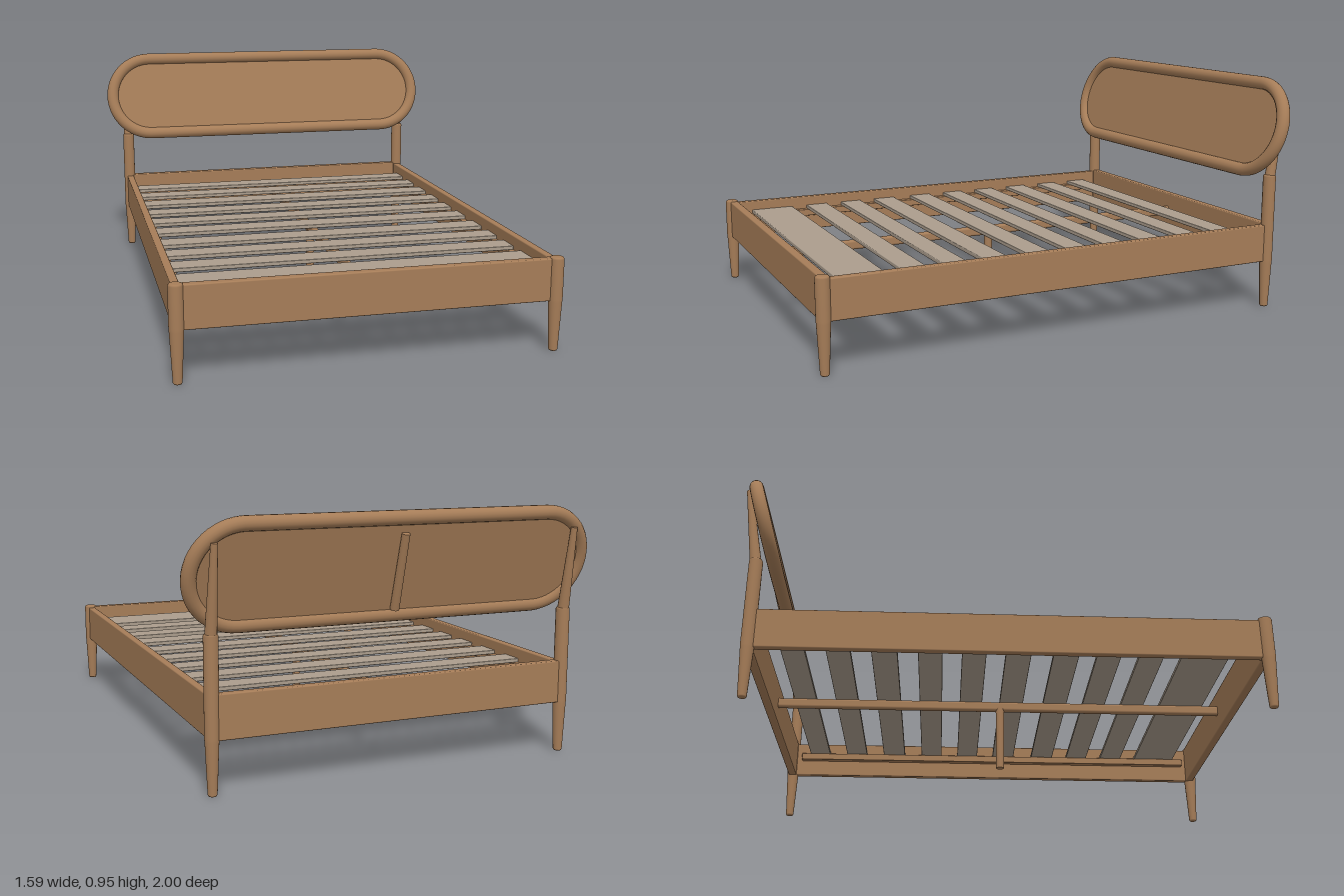
import * as THREE from 'three';
import { RoundedBoxGeometry } from 'three/addons/geometries/RoundedBoxGeometry.js';

const wood = new THREE.MeshStandardMaterial({ color: 0xa67d58 });
wood.name = 'wood';
const slatWood = new THREE.MeshStandardMaterial({ color: 0xab9d8d });
slatWood.name = 'pale slat wood';

export function createModel() {
  const bed = new THREE.Group();
  bed.name = 'bed';

  const add = (name, geometry, x = 0, y = 0, z = 0, material = wood, parent = bed) => {
    const mesh = new THREE.Mesh(geometry, material);
    mesh.name = name;
    mesh.position.set(x, y, z);
    parent.add(mesh);
    return mesh;
  };
  const board = (w, h, d, r = 0.005) => new RoundedBoxGeometry(w, h, d, 2, r);

  // Round post with a tapered foot and a softly rounded top
  const post = (height, r) => new THREE.LatheGeometry([
    [0, 0], [0.014, 0], [0.017, 0.005], [r - 0.001, 0.19], [r, 0.2],
    [r, height - 0.008], [r - 0.003, height - 0.002], [r - 0.008, height], [0, height],
  ].map(([x, y]) => new THREE.Vector2(x, y)), 24);

  // Tapered round rod between two points
  const rod = (name, a, b, rBottom, rTop) => {
    const dir = b.clone().sub(a);
    const mesh = add(name, new THREE.CylinderGeometry(rTop, rBottom, dir.length(), 20));
    mesh.position.copy(a).add(b).multiplyScalar(0.5);
    mesh.quaternion.setFromUnitVectors(new THREE.Vector3(0, 1, 0), dir.normalize());
    return mesh;
  };

  // Posts, side rails and slat ledges, mirrored
  for (const [side, s] of [['left', 1], ['right', -1]]) {
    add(side + 'FootPost', post(0.36, 0.027), s * 0.698, 0, 0.973);
    add(side + 'HeadPost', post(0.56, 0.026), s * 0.698, 0, -0.932);
    rod(side + 'HeadboardSupport', new THREE.Vector3(s * 0.698, 0.54, -0.932),
      new THREE.Vector3(s * 0.698, 0.865, -0.983), 0.022, 0.012);
    add(side + 'SideRail', board(0.03, 0.155, 1.89), s * 0.695, 0.272, 0.02);
    add(side + 'SlatLedge', board(0.03, 0.03, 1.82, 0.003), s * 0.669, 0.279, 0.02);
  }
  add('footRail', board(1.38, 0.162, 0.034), 0, 0.274, 0.966);
  add('headRail', board(1.38, 0.162, 0.034), 0, 0.274, -0.932);

  // Slats: back and front edge of each
  const slats = [[-0.85, -0.757], [-0.677, -0.582], [-0.503, -0.402], [-0.323, -0.228],
    [-0.153, -0.058], [0.016, 0.116], [0.201, 0.302], [0.37, 0.466], [0.534, 0.632], [0.7, 0.886]];
  slats.forEach(([z0, z1], i) =>
    add('slat' + (i + 1), board(1.36, 0.016, z1 - z0, 0.003), 0, 0.302, (z0 + z1) / 2, slatWood));

  // Centre beam and its leg
  add('centreBeam', board(0.028, 0.04, 1.88, 0.01), 0, 0.274, 0.015);
  add('centreLeg', new THREE.CylinderGeometry(0.018, 0.016, 0.27, 20), 0, 0.135, 0.018);

  // Leaning headboard: stadium-shaped panel framed by a round rim
  const headboard = new THREE.Group();
  headboard.name = 'headboard';
  headboard.position.set(0, 0.746, -0.921);
  headboard.rotation.x = -0.274;
  bed.add(headboard);

  const R = 0.184, L = 0.768 - R;
  const outline = new THREE.Shape();
  outline.absarc(L, 0, R, -Math.PI / 2, Math.PI / 2, false);
  outline.absarc(-L, 0, R, Math.PI / 2, Math.PI * 1.5, false);
  outline.closePath();

  const panel = new THREE.ExtrudeGeometry(outline, { depth: 0.016, bevelEnabled: false, curveSegments: 32 });
  add('headboardPanel', panel, 0, 0, -0.012, wood, headboard);

  // Rim path sampled evenly around the outline
  class RimCurve extends THREE.Curve {
    getPoint(t, target = new THREE.Vector3()) {
      const p = outline.getPointAt(t % 1);
      return target.set(p.x, p.y, 0);
    }
  }
  add('headboardRim', new THREE.TubeGeometry(new RimCurve(), 160, 0.027, 16, true), 0, 0, 0, wood, headboard);

  // Centre strut behind the panel
  rod('headboardStrut', new THREE.Vector3(0, 0.59, -0.9), new THREE.Vector3(0, 0.868, -0.979), 0.017, 0.015);

  return bed;
}
